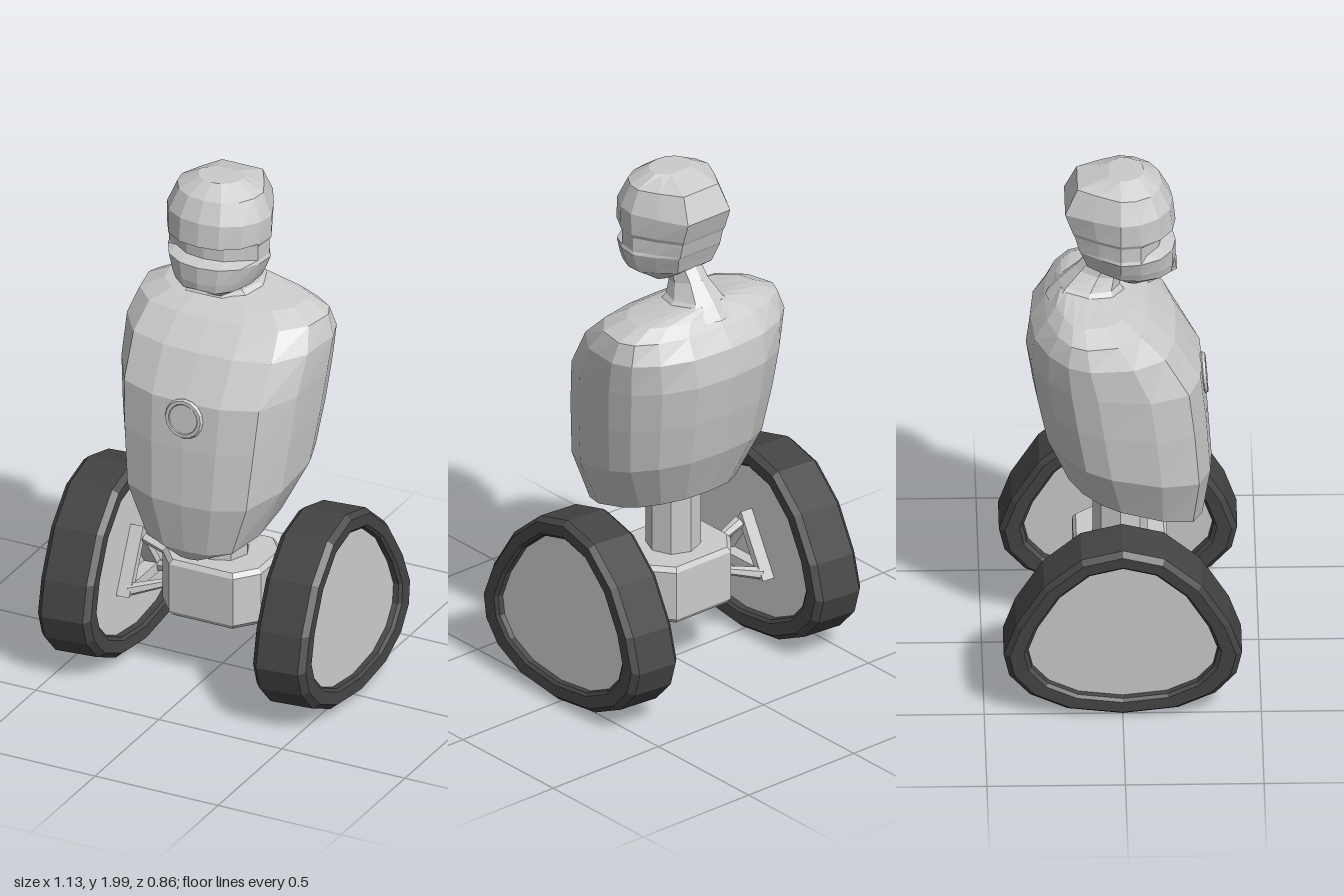
import * as THREE from 'three';

const grey = new THREE.MeshStandardMaterial({ color: 0xcccccc, flatShading: true, side: THREE.DoubleSide });
const rubber = new THREE.MeshStandardMaterial({ color: 0x444444, flatShading: true, side: THREE.DoubleSide });

// Skin a list of closed rings (arrays of [x, y, z]), with optional end caps
function loft(rings, caps = true) {
  const n = rings[0].length, pos = rings.flat(2), idx = [];
  for (let i = 0; i < rings.length - 1; i++) {
    for (let j = 0; j < n; j++) {
      const k = (j + 1) % n, a = i * n, b = a + n;
      idx.push(a + j, a + k, b + k, a + j, b + k, b + j);
    }
  }
  if (caps) {
    const last = (rings.length - 1) * n;
    [0, last].forEach((start, end) => {
      const c = pos.length / 3;
      for (let a = 0; a < 3; a++) pos.push(rings[end ? rings.length - 1 : 0].reduce((s, p) => s + p[a], 0) / n);
      for (let j = 0; j < n; j++) {
        const k = (j + 1) % n;
        if (end) idx.push(c, start + j, start + k);
        else idx.push(c, start + k, start + j);
      }
    });
  }
  const g = new THREE.BufferGeometry();
  g.setAttribute('position', new THREE.Float32BufferAttribute(pos, 3));
  g.setIndex(idx);
  g.computeVertexNormals();
  return g;
}

// Complete a half outline, running from the first to the last point on the axis
const mirrorHalf = (half) => half.concat(half.slice(1, -1).reverse().map(([u, v]) => [-u, v]));

// Tilted ring: front and back points (z, y), half width, outline fractions
function ring(outline, [zf, yf, zb, yb, hw]) {
  return outline.map(([u, v]) => {
    const t = (v + 1) / 2;
    return [u * hw, yb + (yf - yb) * t, zb + (zf - zb) * t];
  });
}

function add(parent, name, geometry, material = grey) {
  const mesh = new THREE.Mesh(geometry, material);
  mesh.name = name;
  parent.add(mesh);
  return mesh;
}

function strut(parent, name, from, to, r0, r1) {
  const a = new THREE.Vector3(...from), b = new THREE.Vector3(...to), d = b.clone().sub(a);
  const m = add(parent, name, new THREE.CylinderGeometry(r1, r0, d.length(), 6));
  m.position.copy(a).add(b).multiplyScalar(0.5);
  m.quaternion.setFromUnitVectors(new THREE.Vector3(0, 1, 0), d.normalize());
}

function makeTorso(root) {
  const outline = mirrorHalf([[0, 1], [0.36, 0.98], [0.72, 0.84], [0.94, 0.4], [1, -0.2],
    [0.93, -0.5], [0.73, -0.76], [0.42, -0.95], [0, -1]]);
  const rows = [
    [0.27, 0.555, -0.06, 0.72, 0.1],
    [0.30, 0.60, -0.20, 0.76, 0.24],
    [0.33, 0.80, -0.28, 0.95, 0.335],
    [0.315, 1.02, -0.315, 1.12, 0.362],
    [0.295, 1.20, -0.34, 1.28, 0.38],
    [0.2, 1.36, -0.325, 1.39, 0.39],
    [0.1, 1.45, -0.275, 1.46, 0.365],
    [0.03, 1.49, -0.24, 1.5, 0.28],
    [-0.01, 1.505, -0.22, 1.53, 0.11],
  ];
  add(root, 'torso', loft(rows.map((r) => ring(outline, r))));

  // Neck, flaring into the upper back
  const neck = mirrorHalf([[0, 1], [0.7, 0.7], [1, 0], [0.7, -0.8], [0, -1]]);
  add(root, 'neck', loft([
    [0.03, 1.47, -0.27, 1.48, 0.16],
    [0.0, 1.52, -0.22, 1.54, 0.09],
    [0.0, 1.56, -0.16, 1.6, 0.06],
    [0.02, 1.66, -0.09, 1.68, 0.055],
  ].map((r) => ring(neck, r))));

  // Round chest button
  const button = new THREE.Group();
  button.name = 'chestButton';
  button.position.set(0, 1.14, 0.302);
  button.rotation.x = -0.09;
  add(button, 'buttonRim', new THREE.TorusGeometry(0.065, 0.012, 6, 16));
  const face = add(button, 'buttonFace', new THREE.CylinderGeometry(0.056, 0.058, 0.016, 16));
  face.rotation.x = Math.PI / 2;
  root.add(button);
}

function makeHead(root) {
  const half = [[0, 1], [0.4, 0.94], [0.74, 0.72], [0.95, 0.36], [1, 0], [0.78, -0.5], [0.5, -1], [0, -1]];
  const outline = mirrorHalf(half);
  // front z, front y, back z, back y, half width, visor inset
  const rows = [
    [0.07, 1.53, -0.04, 1.58, 0.05, 0],
    [0.195, 1.605, -0.12, 1.64, 0.16, 0],
    [0.2, 1.64, -0.13, 1.67, 0.175, 0],
    [0.2, 1.705, -0.145, 1.71, 0.195, 0],
    [0.2, 1.72, -0.15, 1.72, 0.19, 0.05],
    [0.2, 1.775, -0.165, 1.775, 0.19, 0.05],
    [0.2, 1.79, -0.172, 1.79, 0.198, 0],
    [0.19, 1.88, -0.2, 1.87, 0.2, 0],
    [0.15, 1.955, -0.155, 1.965, 0.165, 0],
    [0.085, 2.0, -0.04, 2.0, 0.085, 0],
  ];
  add(root, 'head', loft(rows.map(([zf, yf, zb, yb, hw, inset]) => outline.map(([u, v]) => {
    const z = v > 0 ? v * zf : -v * zb;
    const y = yb + (yf - yb) * (z - zb) / (zf - zb);
    return [u * hw, y, v > 0.6 ? z - inset : z];
  }))));
  // Chin plate
  const chin = add(root, 'chinPlate', new THREE.BoxGeometry(0.09, 0.012, 0.12));
  chin.position.set(0, 1.582, 0.15);
  chin.rotation.x = -0.52;
}

function makeBase(root) {
  const octagon = mirrorHalf([[0, 1], [0.65, 1], [1, 0.5], [1, -0.5], [0.65, -1], [0, -1]]);
  add(root, 'hubBlock', loft([[0.25, 0.93], [0.268, 1], [0.457, 1], [0.475, 0.93]].map(([y, s]) =>
    octagon.map(([u, v]) => [u * s * 0.2, y, v * s * 0.17]))));
  const post = add(root, 'post', new THREE.CylinderGeometry(0.1, 0.1, 0.34, 8));
  post.position.y = 0.63;
}

// Rounded three-cornered wheel, built along x about its own centre
function makeWheel(side) {
  const outline = mirrorHalf([[0, 0.36], [0.15, 0.322], [0.285, 0.205], [0.385, 0.04], [0.43, -0.09],
    [0.41, -0.18], [0.335, -0.265], [0.2, -0.328], [0, -0.352]]);
  const section = ([x, s]) => outline.map(([z, y]) => [x, y * s, z * s]);
  const wheel = new THREE.Group();
  wheel.name = side > 0 ? 'leftWheel' : 'rightWheel';
  const tyre = [[-0.06, 0.79], [-0.095, 0.8], [-0.105, 0.83], [-0.107, 0.95], [-0.085, 1],
    [0.085, 1], [0.107, 0.95], [0.105, 0.83], [0.095, 0.8], [0.06, 0.79]];
  add(wheel, 'tyre', loft(tyre.map(section), false), rubber);
  add(wheel, 'wheelDisc', loft([[-0.07, 0.8], [0.075, 0.8]].map(section)));

  // Triangular mount on the inner face
  const tri = (s) => [[0, 0.125], [-0.14, -0.1], [0.14, -0.1]].map(([a, b]) => new THREE.Vector2(a * s, b * s));
  const shape = new THREE.Shape(tri(1));
  shape.holes.push(new THREE.Path(tri(0.6).reverse()));
  const mount = add(wheel, 'mountFrame', new THREE.ExtrudeGeometry(shape, { depth: 0.055, bevelEnabled: false }));
  mount.rotation.y = Math.PI / 2;
  mount.position.set(-0.122, -0.01, 0);

  wheel.position.set(side * 0.437, 0.366, 0);
  wheel.rotation.z = side * 0.062;
  if (side < 0) wheel.rotation.y = Math.PI;
  if (side < 0) wheel.rotation.z = -0.062;
  return wheel;
}

export function createModel() {
  const root = new THREE.Group();
  root.name = 'wheeledRobot';
  makeTorso(root);
  makeHead(root);
  makeBase(root);
  for (const side of [1, -1]) {
    root.add(makeWheel(side));
    // Struts from the hub block to the mount corners
    for (const [y0, z0, x1, y1, z1] of [[0.4, 0, 0.315, 0.45, 0], [0.32, 0.06, 0.325, 0.28, 0.11], [0.32, -0.06, 0.325, 0.28, -0.11]]) {
      strut(root, 'suspensionArm', [side * 0.19, y0, z0], [side * x1, y1, z1], 0.016, 0.024);
    }
  }
  return root;
}
